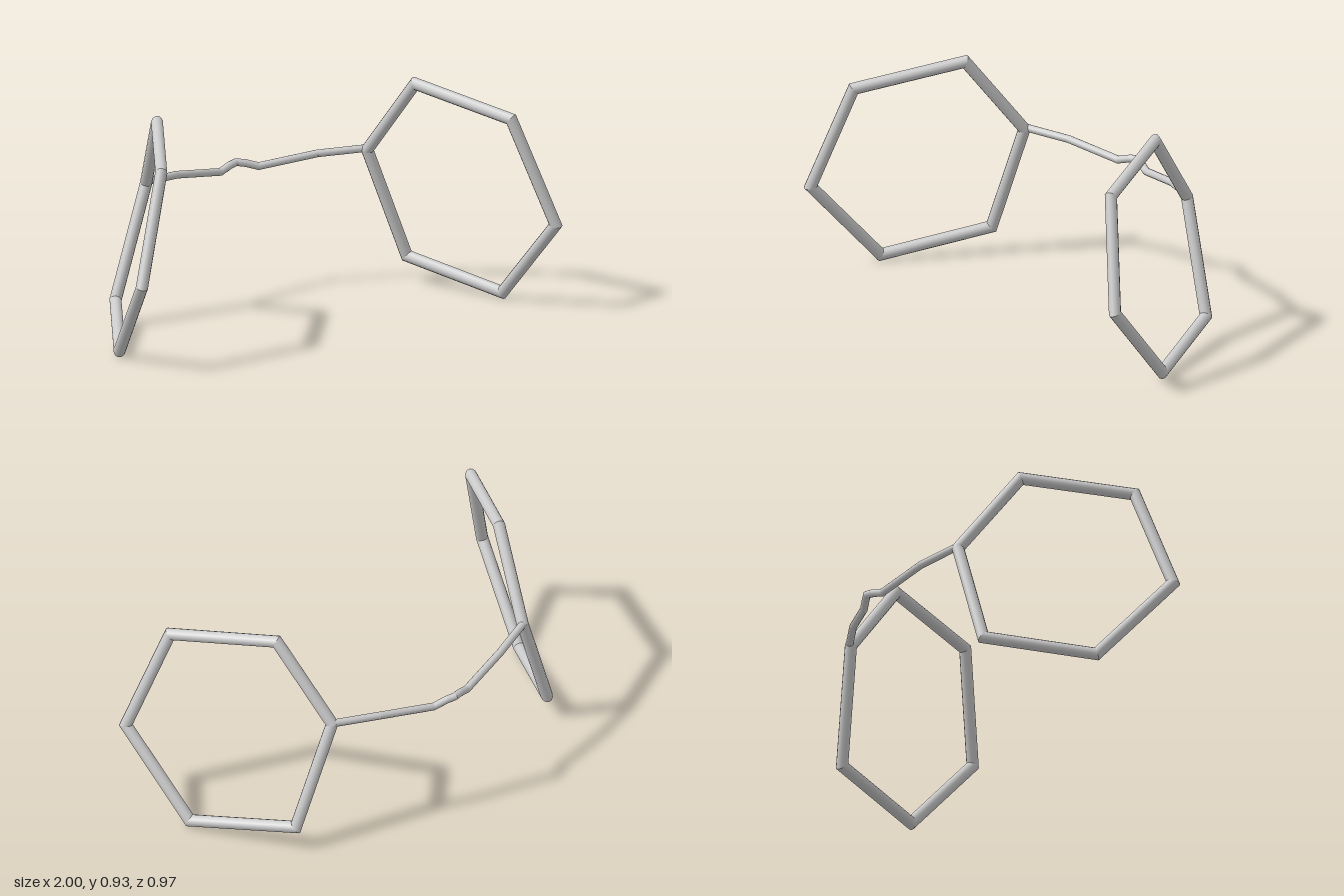
import * as THREE from 'three';
import { mergeGeometries } from 'three/addons/utils/BufferGeometryUtils.js';

const V = (p) => new THREE.Vector3(...p);

// Round rod along a polyline, with mitred corners
function mitredRod(points, radius, closed, reference) {
  const count = points.length;
  const segments = closed ? count : count - 1;
  const direction = (i) => {
    const k = (i + segments) % segments;
    return points[(k + 1) % count].clone().sub(points[k]).normalize();
  };
  const parts = [];
  for (let i = 0; i < segments; i++) {
    const d = direction(i);
    const u = reference.clone().addScaledVector(d, -reference.dot(d)).normalize();
    const w = u.clone().cross(d);
    const before = closed || i > 0 ? direction(i - 1) : d;
    const after = closed || i < segments - 1 ? direction(i + 1) : d;
    const geometry = new THREE.CylinderGeometry(radius, radius, 1, 12, 1, true);
    const pos = geometry.attributes.position;
    const nor = geometry.attributes.normal;
    for (let k = 0; k < pos.count; k++) {
      const atEnd = pos.getY(k) > 0;
      const offset = u.clone().multiplyScalar(pos.getX(k)).addScaledVector(w, pos.getZ(k));
      const normal = offset.clone().normalize();
      // slide the point along the rod onto the mitre plane
      const plane = d.clone().add(atEnd ? after : before);
      offset.addScaledVector(d, -offset.dot(plane) / d.dot(plane));
      offset.add(points[atEnd ? (i + 1) % count : i]);
      pos.setXYZ(k, offset.x, offset.y, offset.z);
      nor.setXYZ(k, normal.x, normal.y, normal.z);
    }
    parts.push(geometry);
  }
  return mergeGeometries(parts);
}

export function createModel() {
  const group = new THREE.Group();
  const material = new THREE.MeshStandardMaterial({ color: 0xcccccc, side: THREE.DoubleSide });
  const add = (name, geometry) => {
    const mesh = new THREE.Mesh(geometry, material);
    mesh.name = name;
    group.add(mesh);
  };

  // Hexagonal rims, swung forward at the outer edges
  const rim = [
    [0.52, 0.58, -0.302], [0.607, 0.905, -0.06], [0.823, 0.823, 0.353],
    [0.973, 0.38, 0.456], [0.9, 0.031, 0.145], [0.685, 0.117, -0.265],
  ];
  for (const side of [1, -1]) {
    const points = rim.map(([x, y, z]) => V([x * side, y, z]));
    const normal = points[2].clone().sub(points[0]).cross(points[4].clone().sub(points[0])).normalize();
    add(side > 0 ? 'leftRim' : 'rightRim', mitredRod(points, 0.025, true, normal));
  }

  // Thin bridge with a small raised bump in the middle
  const half = [[0.52, 0.585, -0.308], [0.33, 0.571, -0.38], [0.09, 0.535, -0.443], [0.035, 0.552, -0.46]];
  const path = [
    ...half.map(([x, y, z]) => V([-x, y, z])),
    V([0, 0.557, -0.471]),
    ...half.slice().reverse().map(V),
  ];
  add('bridge', mitredRod(path, 0.016, false, new THREE.Vector3(0, 1, 0)));

  return group;
}
